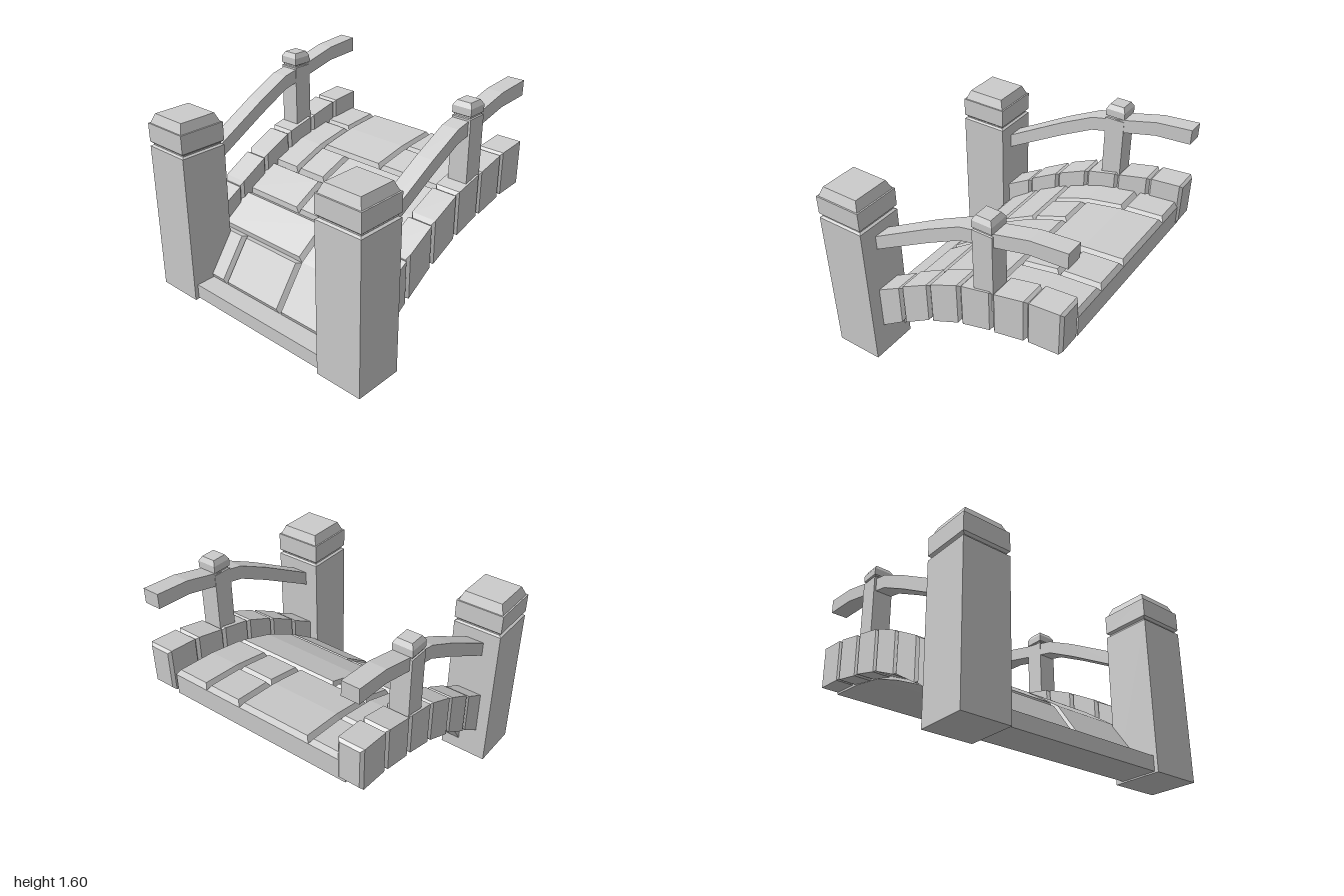
import * as THREE from 'three';

const material = new THREE.MeshStandardMaterial({ color: 0xcccccc, flatShading: true, side: THREE.DoubleSide });

// Skins a row of four-cornered sections and closes both ends
function loft(name, sections) {
  const pos = [];
  const quad = (a, b, c, d) => pos.push(...a, ...b, ...c, ...a, ...c, ...d);
  for (let s = 0; s < sections.length - 1; s++) {
    const p = sections[s], q = sections[s + 1];
    for (let i = 0; i < 4; i++) {
      const j = (i + 1) % 4;
      quad(p[i], p[j], q[j], q[i]);
    }
  }
  const first = sections[0], last = sections[sections.length - 1];
  quad(first[3], first[2], first[1], first[0]);
  quad(...last);
  const geometry = new THREE.BufferGeometry();
  geometry.setAttribute('position', new THREE.Float32BufferAttribute(pos, 3));
  geometry.computeVertexNormals();
  const mesh = new THREE.Mesh(geometry, material);
  mesh.name = name;
  return mesh;
}

// Upright rectangle at x, used for parts running along the bridge
const slice = (x, y0, y1, z0, z1) => [[x, y0, z0], [x, y1, z0], [x, y1, z1], [x, y0, z1]];

// Square post from [height, half width] pairs
function post(name, cx, cz, profile) {
  return loft(name, profile.map(([y, h]) => [
    [cx - h, y, cz - h], [cx - h, y, cz + h], [cx + h, y, cz + h], [cx + h, y, cz - h]]));
}

const END_POST = [[0, 0.185], [1.145, 0.185], [1.155, 0.168], [1.165, 0.168], [1.18, 0.185],
  [1.32, 0.185], [1.32, 0.174], [1.39, 0.145]];
const RAIL_POST = [[0.9, 0.075], [1.488, 0.075], [1.492, 0.065], [1.502, 0.065], [1.508, 0.075],
  [1.56, 0.075], [1.595, 0.055]];

// Handrail: x, bottom, top
const RAIL = [[-0.64, 0.905, 1.015], [-0.1, 1.21, 1.32], [0.16, 1.345, 1.45], [0.42, 1.405, 1.507],
  [0.67, 1.465, 1.57], [0.935, 1.482, 1.593]];

// Edge stones: x start, x end, bottom start, bottom end, top start, top end
const STONES = [
  [-0.62, -0.358, 0.22, 0.402, 0.567, 0.72],
  [-0.358, -0.102, 0.395, 0.56, 0.73, 0.875],
  [-0.102, 0.157, 0.55, 0.672, 0.878, 0.997],
  [0.157, 0.415, 0.668, 0.742, 0.998, 1.06],
  [0.415, 0.675, 0.735, 0.793, 1.058, 1.12],
  [0.675, 0.935, 0.797, 0.817, 1.12, 1.145],
];

// Arch underside and the matching paving surface
const UNDER = [[-0.63, 0.01], [-0.42, 0.33], [-0.18, 0.49], [0.08, 0.615], [0.34, 0.72], [0.62, 0.775], [0.92, 0.8]];
const TOP = [[-0.78, 0.13], [-0.55, 0.46], [-0.28, 0.65], [0, 0.8], [0.29, 0.91], [0.595, 0.97], [0.92, 1]];
const mix = (a, b, t) => [a[0] + (b[0] - a[0]) * t, a[1] + (b[1] - a[1]) * t];
const BASE = TOP.map((p, i) => mix(p, UNDER[i], 0.2));
const Z0 = -0.775, Z1 = 0.68;

// Paving: first and last arch joint, z start, z end
const PAVERS = [
  [0, 1, Z0, -0.48], [0, 1, -0.48, 0.09], [0, 2, 0.09, Z1],
  [1, 2, Z0, 0.09], [2, 3, Z0, -0.205], [3, 4, -0.485, -0.205],
  [3, 5, Z0, -0.485], [5, 6, Z0, -0.485], [4, 6, -0.485, 0.095],
  [4, 5, 0.095, 0.39], [5, 6, 0.095, 0.39], [4, 6, 0.39, Z1], [2, 4, -0.205, Z1],
];

// Slab with bevelled upper edges that follows the arch
function paver([a, b, z0, z1]) {
  const bevel = 0.025, sections = [];
  for (let i = a; i <= b; i++) {
    let t = TOP[i];
    const next = i === a ? TOP[i + 1] : i === b ? TOP[i - 1] : null;
    if (next) t = mix(t, next, bevel / Math.hypot(next[0] - t[0], next[1] - t[1]));
    sections.push([[...BASE[i], z0], [...t, z0 + bevel], [...t, z1 - bevel], [...BASE[i], z1]]);
  }
  return loft('paver', sections);
}

// Block with all edges of both end faces chamfered
function edgeStone([x0, x1, b0, b1, t0, t1], cz) {
  const c = 0.02, h = 0.097;
  const at = (x, inset) => {
    const k = (x - x0) / (x1 - x0);
    return slice(x, b0 + (b1 - b0) * k + inset, t0 + (t1 - t0) * k - inset, cz - h + inset, cz + h - inset);
  };
  return loft('edgeStone', [at(x0, c), at(x0 + c, 0), at(x1 - c, 0), at(x1, c)]);
}

export function createModel() {
  const model = new THREE.Group();
  model.name = 'stoneBridge';

  // Arch body, foot step and paving
  model.add(loft('archSlab', UNDER.map((u, i) => [
    [...u, Z0], [...BASE[i], Z0], [...BASE[i], Z1], [...u, Z1]])));
  model.add(loft('footStep', [slice(-0.91, 0.01, 0.12, -0.7, 0.7), slice(-0.63, 0.01, 0.12, -0.7, 0.7)]));
  const paving = new THREE.Group();
  paving.name = 'paving';
  PAVERS.forEach((p) => paving.add(paver(p)));
  model.add(paving);

  // Both parapets; the far one sits slightly further out
  for (const [name, side, shift] of [['frontParapet', 1, 0], ['backParapet', -1, 0.013]]) {
    const parapet = new THREE.Group();
    parapet.name = name;
    const cz = side * (0.8 + shift);
    parapet.add(post('endPost', -0.755, side * 0.815, END_POST));
    parapet.add(post('railPost', 0.345, side * (0.807 + shift), RAIL_POST));
    parapet.add(loft('handrail', RAIL.map(([x, b, t]) => slice(x, b, t, cz - 0.065, cz + 0.065))));
    STONES.forEach((s) => parapet.add(edgeStone(s, cz)));
    model.add(parapet);
  }
  return model;
}
